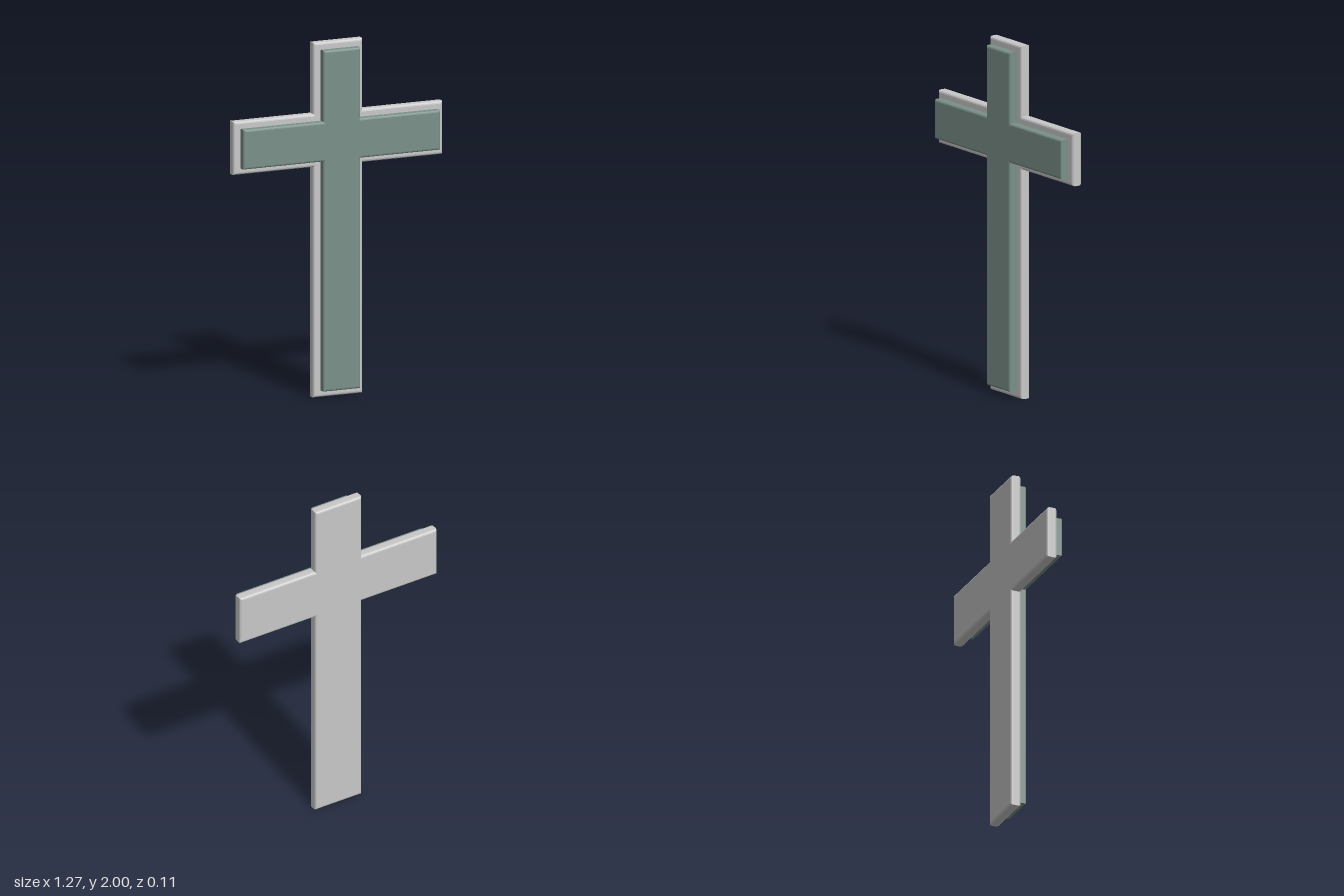
import * as THREE from 'three';

// Bevelled cross plate: half widths, vertical limits and depth limits are outer sizes
function crossPlate(name, material, { post, arm, bottom, top, armLow, armHigh, back, front, bevel }) {
  const b = bevel;
  const p = post - b, a = arm - b;
  const y0 = bottom + b, y1 = top - b, lo = armLow + b, hi = armHigh - b;
  const shape = new THREE.Shape([
    [-p, y0], [p, y0], [p, lo], [a, lo], [a, hi], [p, hi],
    [p, y1], [-p, y1], [-p, hi], [-a, hi], [-a, lo], [-p, lo],
  ].map(([x, y]) => new THREE.Vector2(x, y)));
  const geometry = new THREE.ExtrudeGeometry(shape, {
    depth: front - back - 2 * b,
    bevelEnabled: true, bevelSize: b, bevelThickness: b, bevelSegments: 3,
  });
  geometry.translate(0, 0, back + b);
  const mesh = new THREE.Mesh(geometry, material);
  mesh.name = name;
  return mesh;
}

export function createModel() {
  const stone = new THREE.MeshStandardMaterial({ color: 0xc8c8c8 });
  stone.name = 'light grey';
  const green = new THREE.MeshStandardMaterial({ color: 0x7a9088 });
  green.name = 'grey green';

  const group = new THREE.Group();
  group.name = 'cross';
  group.add(
    // Larger backing plate
    crossPlate('backCross', stone, {
      post: 0.15, arm: 0.636, bottom: 0, top: 2, armLow: 1.3, armHigh: 1.6,
      back: -0.056, front: 0.004, bevel: 0.014,
    }),
    // Smaller raised plate in front
    crossPlate('frontCross', green, {
      post: 0.112, arm: 0.598, bottom: 0.04, top: 1.962, armLow: 1.338, armHigh: 1.562,
      back: 0.004, front: 0.056, bevel: 0.012,
    }),
  );
  return group;
}
